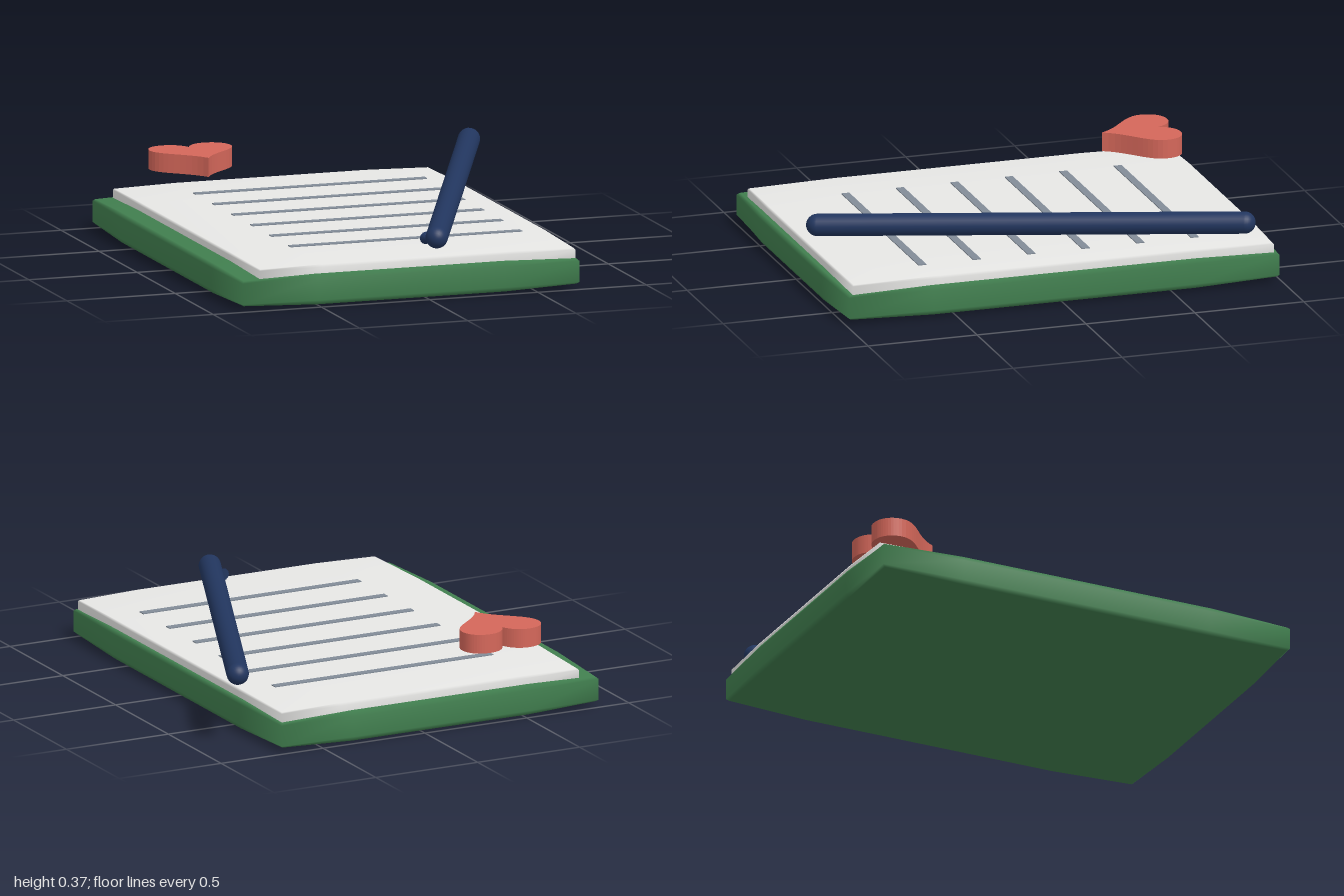
import * as THREE from 'three';
import { mergeVertices } from 'three/addons/utils/BufferGeometryUtils.js';

const material = (name, color) => {
  const m = new THREE.MeshStandardMaterial({ color });
  m.name = name;
  return m;
};

// Smooth-shaded pillow slab: edges retreat slightly from the flat middle of each face
function slab(min, max, inner, pull) {
  let g = new THREE.BoxGeometry(2, 2, 2, 3, 3, 3);
  g.deleteAttribute('normal');
  g.deleteAttribute('uv');
  g = mergeVertices(g, 1e-4);
  const p = g.attributes.position;
  for (let i = 0; i < p.count; i++) {
    const v = [p.getX(i), p.getY(i), p.getZ(i)];
    const outer = v.map((c) => Math.abs(c) > 0.9);
    const count = outer.filter(Boolean).length;
    const q = v.map((c, a) => {
      const half = (max[a] - min[a]) / 2;
      const reach = outer[a] ? half - pull[a] * (count - 1) : half * inner[a];
      return (max[a] + min[a]) / 2 + Math.sign(c) * reach;
    });
    p.setXYZ(i, ...q);
  }
  g.computeVertexNormals();
  return g;
}

export function createModel() {
  const group = new THREE.Group();
  group.name = 'notebook';
  const green = material('cover green', 0x417f4f);
  const white = material('paper white', 0xeaeae8);
  const grey = material('line grey', 0x828c98);
  const red = material('heart red', 0xd4675a);
  const navy = material('pen navy', 0x22365f);

  const add = (name, geometry, mat) => {
    const mesh = new THREE.Mesh(geometry, mat);
    mesh.name = name;
    group.add(mesh);
    return mesh;
  };

  // Cover and paper block
  add('cover', slab([-0.868, 0, -1], [0.705, 0.155, 1], [0.55, 0.6, 0.6], [0.009, 0.011, 0.012]), green);
  add('paper', slab([-0.778, 0.1, -0.972], [0.69, 0.189, 0.972], [0.6, 0.6, 0.58], [0.005, 0.006, 0.006]), white);

  // Ruled lines
  for (let i = 0; i < 6; i++) {
    const line = add('ruledLine', new THREE.BoxGeometry(1.07, 0.004, 0.036), grey);
    line.position.set(0.025, 0.197, -0.645 + i * 0.25);
  }

  // Heart, drawn with its tip towards the front
  const s = new THREE.Shape();
  s.moveTo(0, 0.82);
  s.bezierCurveTo(0.02, 0.87, 0.055, 0.892, 0.095, 0.892);
  s.bezierCurveTo(0.15, 0.892, 0.188, 0.855, 0.188, 0.8);
  s.bezierCurveTo(0.188, 0.71, 0.055, 0.67, 0, 0.56);
  s.bezierCurveTo(-0.055, 0.67, -0.188, 0.71, -0.188, 0.8);
  s.bezierCurveTo(-0.188, 0.855, -0.15, 0.892, -0.095, 0.892);
  s.bezierCurveTo(-0.055, 0.892, -0.02, 0.87, 0, 0.82);
  const heartGeo = new THREE.ExtrudeGeometry(s, { depth: 0.085, bevelEnabled: false, curveSegments: 12 });
  heartGeo.rotateX(-Math.PI / 2);
  add('heart', heartGeo, red).position.set(-0.473, 0.284, 0);

  // Pen lying diagonally across the page
  const a = new THREE.Vector3(0.06, 0.259, 0.922);
  const b = new THREE.Vector3(0.81, 0.326, -0.79);
  const dir = b.clone().sub(a);
  const pen = add('pen', new THREE.CapsuleGeometry(0.049, dir.length(), 8, 24), navy);
  pen.position.copy(a).add(b).multiplyScalar(0.5);
  pen.quaternion.setFromUnitVectors(new THREE.Vector3(0, 1, 0), dir.normalize());

  // Small nib on the pen's lower end
  const nib = add('nib', new THREE.ConeGeometry(0.028, 0.06, 12), navy);
  nib.position.set(0.042, 0.24, 0.86);
  nib.rotation.x = Math.PI / 2;

  return group;
}
